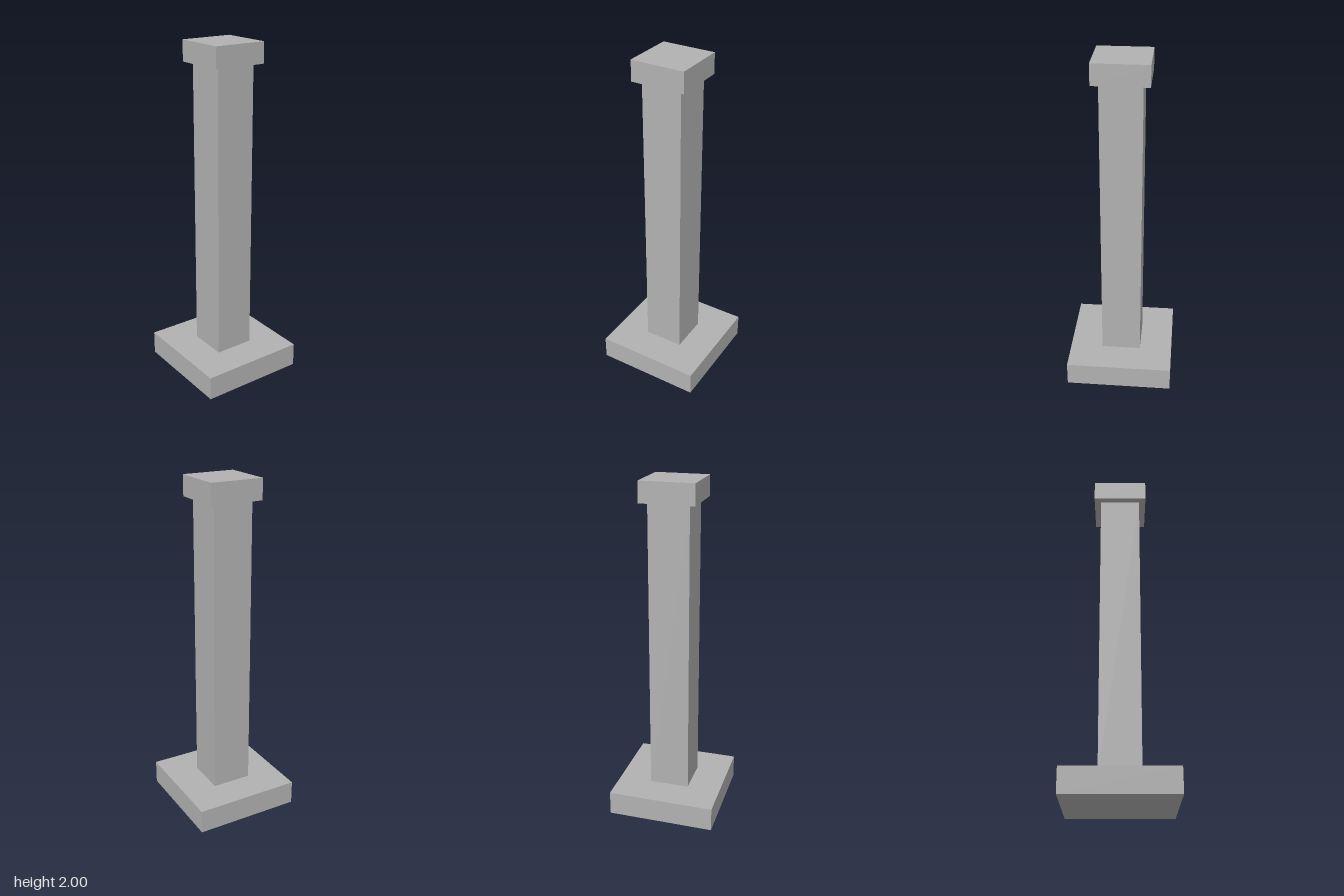
import * as THREE from 'three';

export function createModel() {
  const group = new THREE.Group();
  group.name = 'pillar';
  const stone = new THREE.MeshStandardMaterial({ color: 0xb2b2b2 });
  stone.name = 'grey stone';

  // Square block spanning a height range
  const addBlock = (name, width, bottom, top) => {
    const mesh = new THREE.Mesh(new THREE.BoxGeometry(width, top - bottom, width), stone);
    mesh.name = name;
    mesh.position.y = (bottom + top) / 2;
    group.add(mesh);
  };

  addBlock('base', 0.634, 0, 0.143);
  addBlock('shaft', 0.238, 0.143, 1.88);
  addBlock('capital', 0.317, 1.88, 2);

  return group;
}
